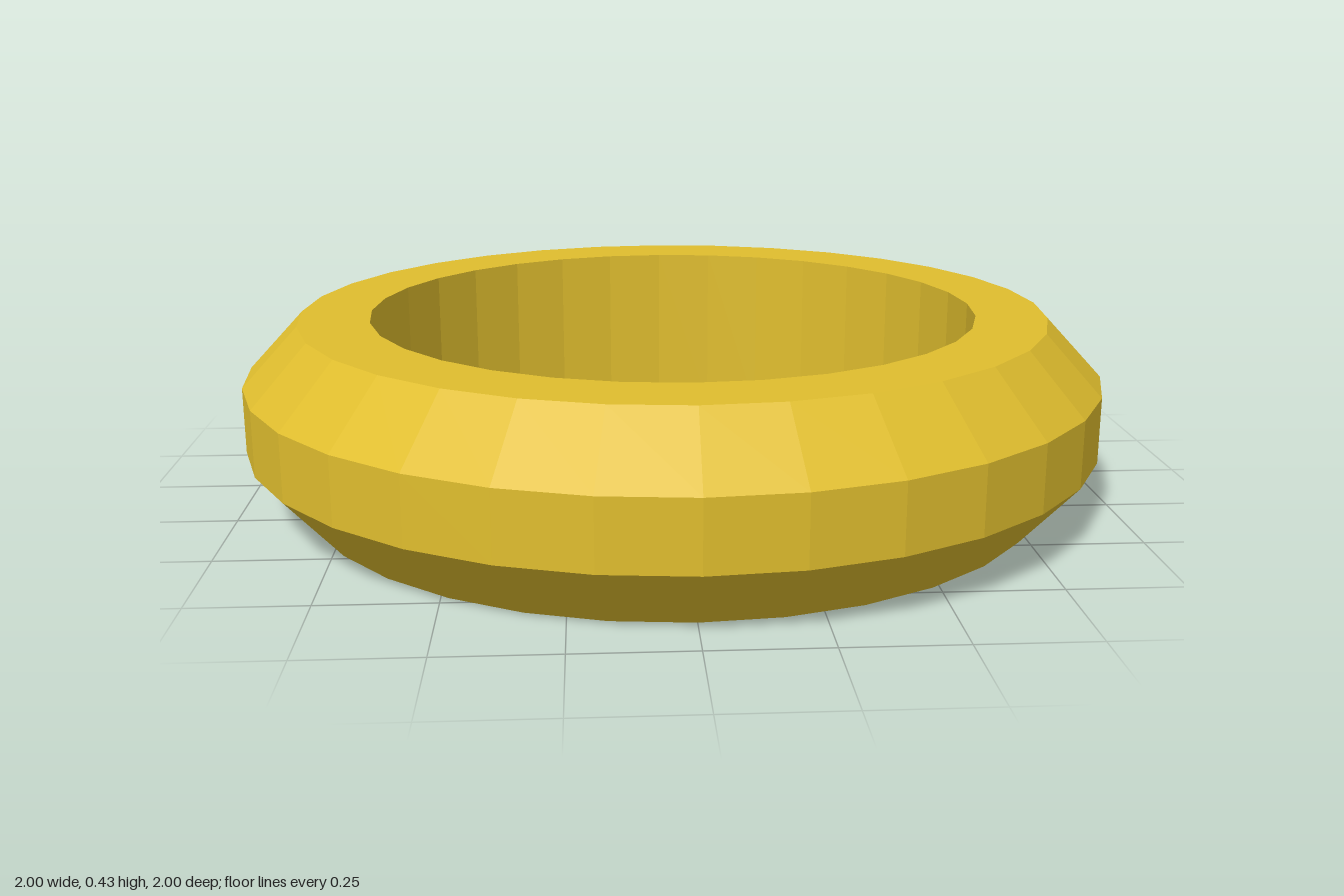
import * as THREE from 'three';

export function createModel() {
  const group = new THREE.Group();
  group.name = 'ring';

  // Closed cross-section: flat ends, bevelled outer rim, straight bore
  const inner = 0.71, shoulder = 0.873, outer = 1, height = 0.43, bevel = 0.145;
  const profile = [
    [inner, 0],
    [shoulder, 0],
    [outer, bevel],
    [outer, height - bevel + 0.01],
    [shoulder, height],
    [inner, height],
    [inner, 0],
  ].map(([r, y]) => new THREE.Vector2(r, y));

  // Faceted band with 32 sides
  const band = new THREE.Mesh(
    new THREE.LatheGeometry(profile, 32),
    new THREE.MeshStandardMaterial({ color: 0xe0be2e, flatShading: true })
  );
  band.name = 'band';
  group.add(band);

  return group;
}
